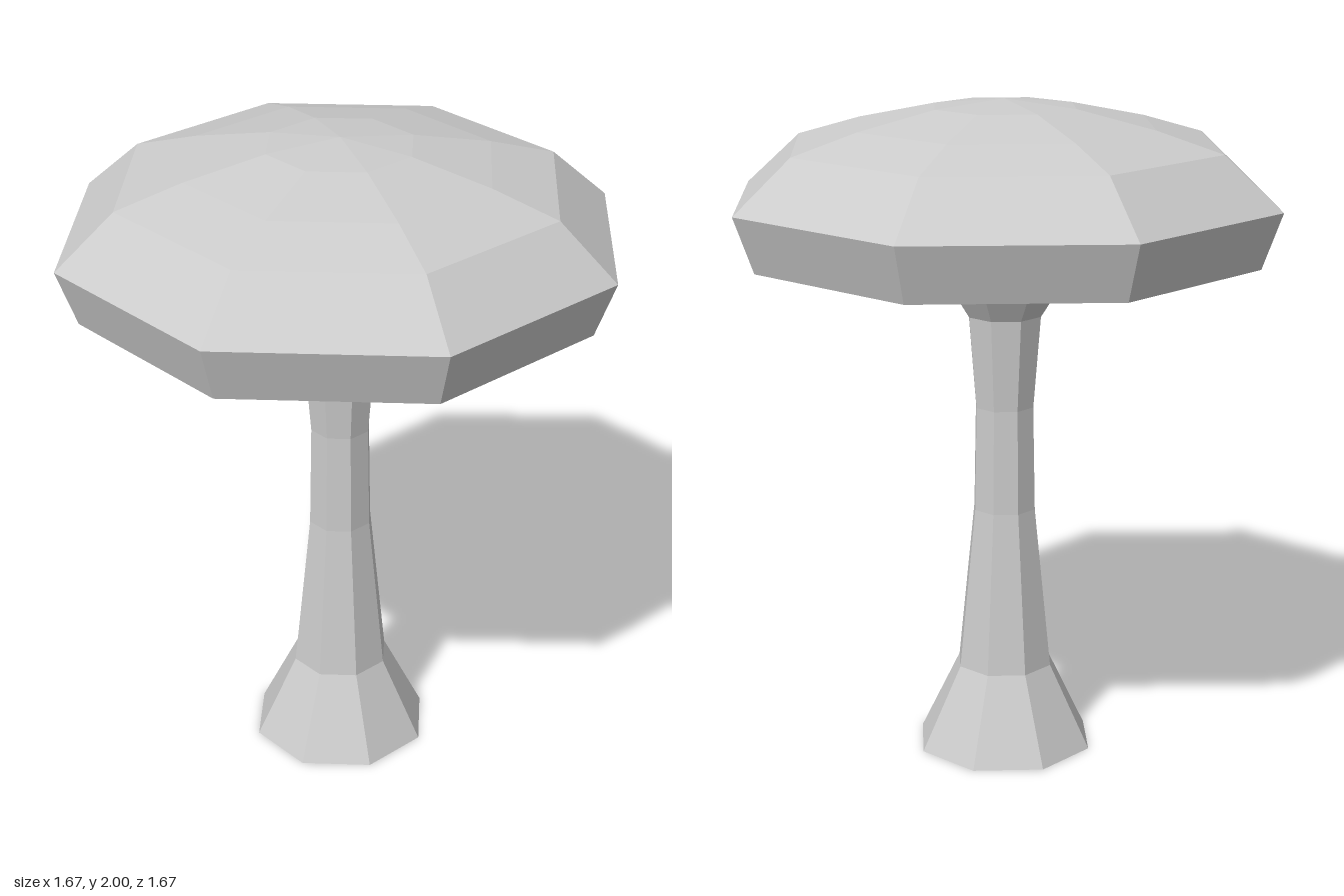
import * as THREE from 'three';

const SIDES = 8;

// Faceted solid turned around the y axis; profile runs [radius, y] outward side from bottom to top
function turned(name, profile, material) {
  const points = profile.map(([r, y]) => new THREE.Vector2(r, y));
  const mesh = new THREE.Mesh(new THREE.LatheGeometry(points, SIDES), material);
  mesh.name = name;
  return mesh;
}

export function createModel() {
  const group = new THREE.Group();
  group.name = 'mushroom';
  const material = new THREE.MeshStandardMaterial({ color: 0xcccccc, flatShading: true });

  // Stem: closed base, wide foot, slim waist, flare under the cap
  group.add(turned('stem', [
    [0, 0], [0.277, 0], [0.15, 0.26], [0.098, 0.76],
    [0.092, 1.08], [0.115, 1.36], [0.197, 1.49],
  ], material));

  // Cap: hollowed underside, slanted rim, domed top
  group.add(turned('cap', [
    [0.197, 1.49], [0.555, 1.615], [0.775, 1.547], [0.835, 1.713],
    [0.66, 1.868], [0.46, 1.927], [0.22, 1.978], [0, 2],
  ], material));

  return group;
}
